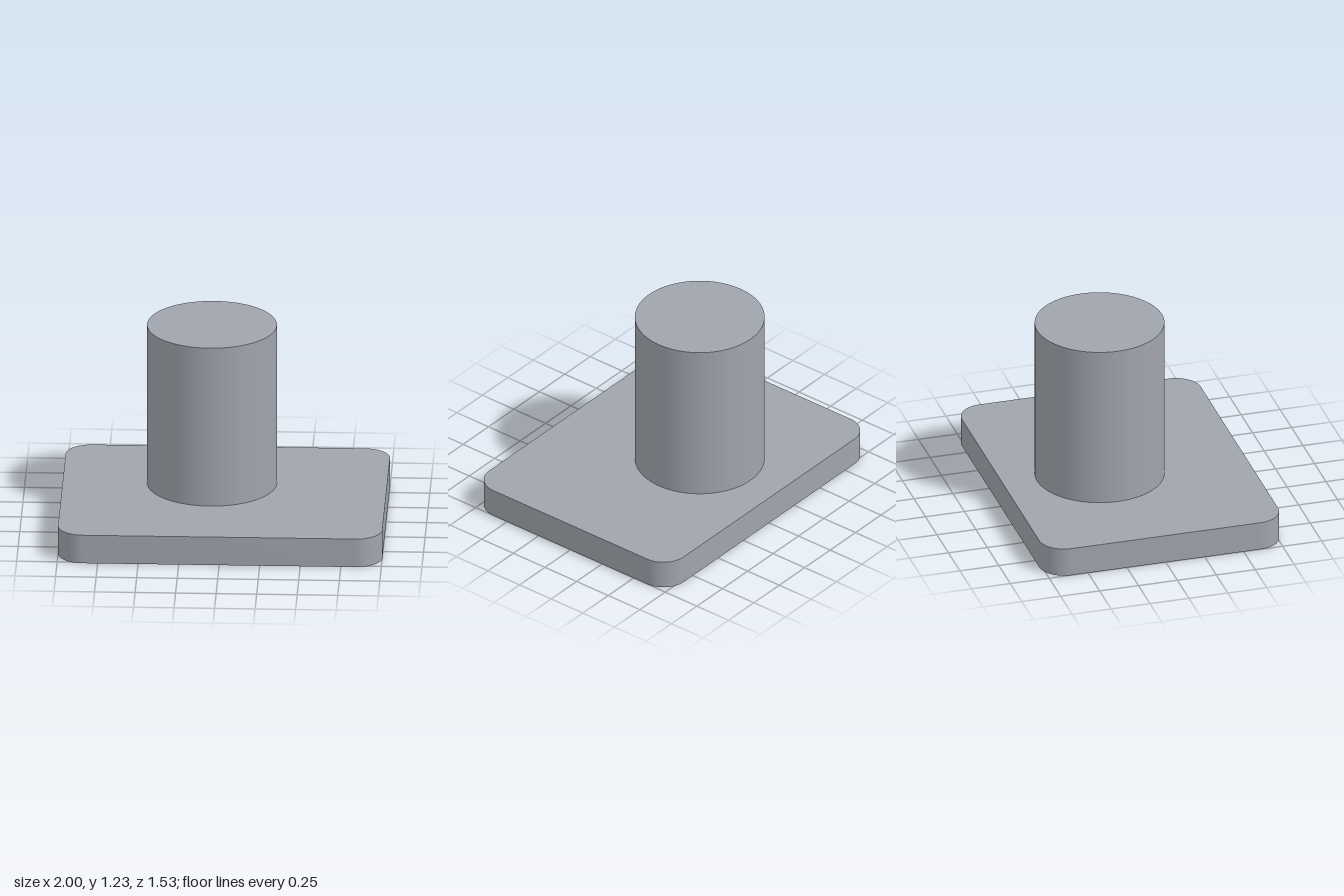
import * as THREE from 'three';
import { toCreasedNormals } from 'three/addons/utils/BufferGeometryUtils.js';

const WIDTH = 2, DEPTH = 1.535, PLATE = 0.185, CORNER = 0.16;
const RADIUS = 0.4, TOP = 1.23;

// Rectangle with rounded corners, centred on the origin
function roundedRectangle(w, d, r) {
  const x = w / 2 - r, y = d / 2 - r;
  const shape = new THREE.Shape();
  [[x, y], [-x, y], [-x, -y], [x, -y]].forEach(([cx, cy], i) =>
    shape.absarc(cx, cy, r, i * Math.PI / 2, (i + 1) * Math.PI / 2, false));
  shape.closePath();
  return shape;
}

export function createModel() {
  const model = new THREE.Group();
  model.name = 'postOnPlate';
  const grey = new THREE.MeshStandardMaterial({ color: 0xa0a4ad });
  grey.name = 'grey';

  // Base plate, extruded upwards
  const plateGeometry = new THREE.ExtrudeGeometry(roundedRectangle(WIDTH, DEPTH, CORNER), {
    depth: PLATE, bevelEnabled: false, curveSegments: 16,
  });
  plateGeometry.rotateX(-Math.PI / 2);
  const plate = new THREE.Mesh(toCreasedNormals(plateGeometry, 0.5), grey);
  plate.name = 'basePlate';

  // Off-centre round post standing on the plate
  const height = TOP - PLATE;
  const post = new THREE.Mesh(new THREE.CylinderGeometry(RADIUS, RADIUS, height, 96), grey);
  post.name = 'post';
  post.position.set(-0.08, PLATE + height / 2, -0.155);

  model.add(plate, post);
  return model;
}
